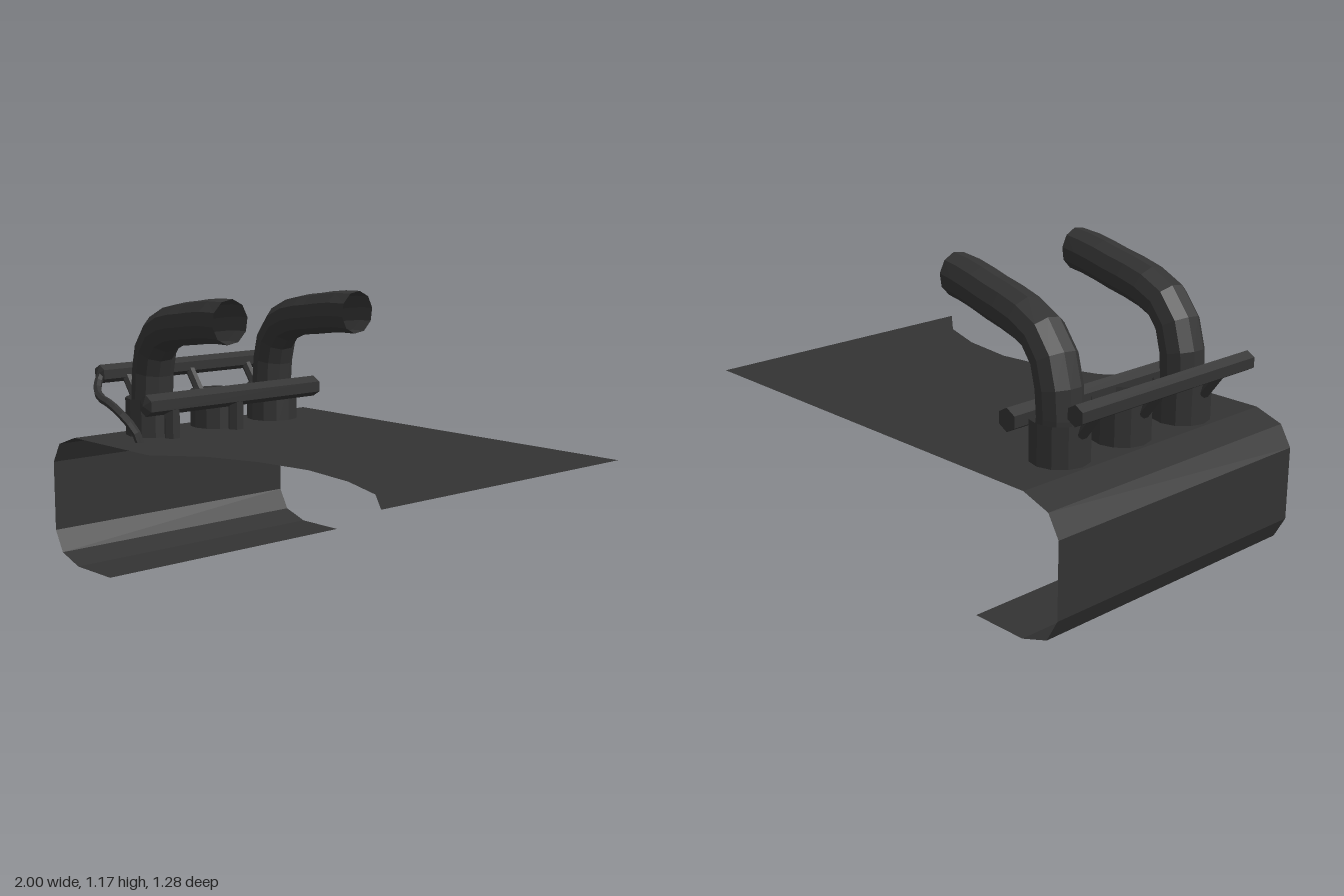
import * as THREE from 'three';

const material = new THREE.MeshStandardMaterial({ color: 0x333333, flatShading: true, side: THREE.DoubleSide });

export function createModel() {
  const group = new THREE.Group();
  const V = (x, y, z) => new THREE.Vector3(x, y, z);
  const add = (name, geometry, x = 0, y = 0, z = 0) => {
    const mesh = new THREE.Mesh(geometry, material);
    mesh.name = name;
    mesh.position.set(x, y, z);
    group.add(mesh);
    return mesh;
  };

  // Straight bar between two points
  const bar = (name, a, b, radius, sides = 6) => {
    const mesh = add(name, new THREE.CylinderGeometry(radius, radius, a.distanceTo(b), sides));
    mesh.position.copy(a).add(b).multiplyScalar(0.5);
    mesh.quaternion.setFromUnitVectors(V(0, 1, 0), b.clone().sub(a).normalize());
  };

  // Flat top sheet with a scalloped front edge
  const top = 0.556, half = 0.64, foldX = -0.83;
  const outline = [
    [foldX, -half], [1, -half], [1, half], [0.82, 0.49], [0.6, 0.41], [0.35, 0.375],
    [0.1, 0.41], [-0.12, 0.49], [-0.3, half], [foldX, half],
  ];
  const sheet = new THREE.ShapeGeometry(new THREE.Shape(outline.map(([x, z]) => new THREE.Vector2(x, z))));
  add('topSheet', sheet.rotateX(Math.PI / 2), 0, top, 0);

  // Folded side wall with a bottom lip
  const fold = [
    [foldX, top], [-0.95, 0.515], [-1, 0.43], [-1, 0.13], [-0.95, 0.04], [-0.83, 0], [-0.59, 0],
  ];
  const wall = new THREE.PlaneGeometry(1, 1, 1, fold.length - 1);
  const wallPos = wall.attributes.position;
  for (let i = 0; i < wallPos.count; i++) {
    const [x, y] = fold[Math.floor(i / 2)];
    wallPos.setXYZ(i, x, y, i % 2 ? -half : half);
  }
  wall.computeVertexNormals();
  add('foldedWall', wall);

  // Three open sockets, each braced to the outer rail
  const socketX = -0.7;
  const rows = [0.33, -0.012, -0.335];
  for (const z of rows) {
    add('socket', new THREE.CylinderGeometry(0.115, 0.115, 0.2, 12, 1, true), socketX, 0.615, z);
    bar('socketBrace', V(-0.89, 0.79, z), V(-0.805, 0.675, z), 0.022);
  }

  // Curved open pipes in the first and last sockets, cut square at x = 0
  const pipePath = [
    [-0.7, 0.62, 0], [-0.7, 0.75, 0], [-0.69, 0.84, 0], [-0.655, 0.93, 0.008], [-0.59, 0.995, 0.018],
    [-0.48, 1.035, 0.033], [-0.3, 1.06, 0.067], [-0.12, 1.082, 0.108], [0, 1.087, 0.132],
  ];
  for (const z of [rows[0], rows[2]]) {
    const curve = new THREE.CatmullRomCurve3(pipePath.map(([x, y, dz]) => V(x, y, z + dz)));
    const pipe = new THREE.TubeGeometry(curve, 10, 0.088, 10, false);
    const pos = pipe.attributes.position;
    for (let i = pos.count - 11; i < pos.count; i++) pos.setX(i, 0);
    add('curvedPipe', pipe);
  }

  // Hexagonal rails with a shallow point at the front end
  const rail = (name, x, y, r) => {
    const points = [[0, -0.473], [r, -0.473], [r, 0.457], [0, 0.472]].map((p) => new THREE.Vector2(...p));
    add(name, new THREE.LatheGeometry(points, 6).rotateX(Math.PI / 2), x, y, 0);
  };
  rail('outerRail', -0.905, 0.803, 0.04);
  rail('innerRail', -0.57, 0.702, 0.046);

  // Posts holding the inner rail
  for (const z of rows.slice(0, 2)) {
    bar('railPost', V(-0.562, 0.55, z), V(-0.562, 0.68, z), 0.035);
  }

  // Thin hose from the outer rail down to the sheet
  const hose = [
    V(-0.905, 0.8, 0.45), V(-0.86, 0.76, 0.5), V(-0.79, 0.725, 0.535), V(-0.69, 0.7, 0.543),
    V(-0.61, 0.65, 0.53), V(-0.57, 0.6, 0.51), V(-0.555, 0.548, 0.498),
  ];
  add('hose', new THREE.TubeGeometry(new THREE.CatmullRomCurve3(hose), 10, 0.018, 6, false));

  return group;
}
